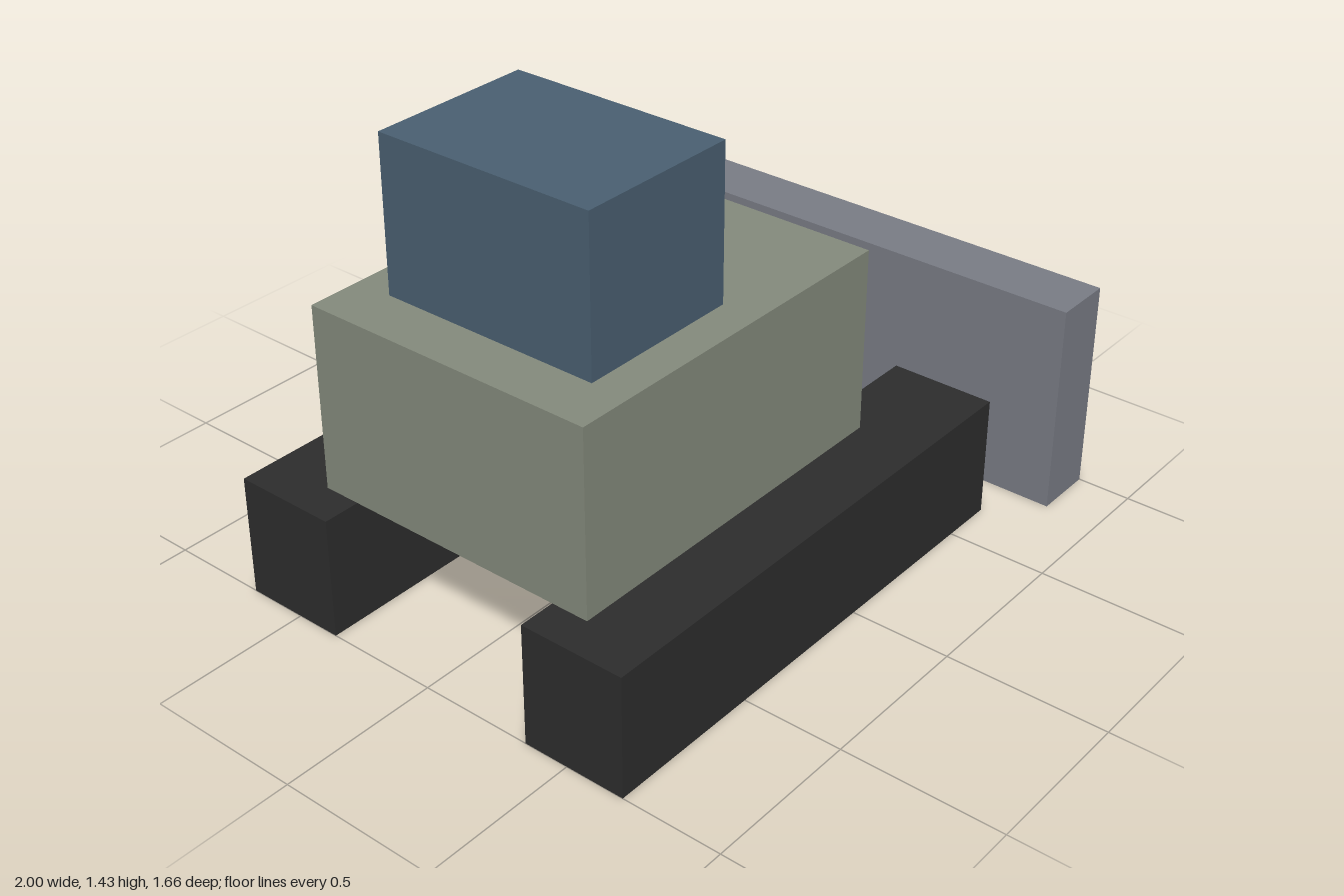
import * as THREE from 'three';

const material = (name, color) => {
  const m = new THREE.MeshStandardMaterial({ color });
  m.name = name;
  return m;
};

// Box given by its lower and upper limits on each axis
function block(name, mat, [x0, x1], [y0, y1], [z0, z1]) {
  const mesh = new THREE.Mesh(new THREE.BoxGeometry(x1 - x0, y1 - y0, z1 - z0), mat);
  mesh.position.set((x0 + x1) / 2, (y0 + y1) / 2, (z0 + z1) / 2);
  mesh.name = name;
  return mesh;
}

export function createModel() {
  const trackBlack = material('track black', 0x2d2d2d);
  const hullGreen = material('hull grey green', 0x858b7d);
  const cabBlue = material('cab blue', 0x4a6072);
  const bladeGrey = material('blade grey', 0x7a7d86);

  const model = new THREE.Group();
  model.name = 'bulldozer';

  // Crawler tracks on both sides
  model.add(block('frontTrack', trackBlack, [-1, 0.664], [0, 0.381], [0.357, 0.688]));
  model.add(block('backTrack', trackBlack, [-1, 0.664], [0, 0.381], [-0.688, -0.357]));

  // Hull, cab and the free-standing dozer blade
  model.add(block('hull', hullGreen, [-0.883, 0.306], [0.381, 0.955], [-0.475, 0.475]));
  model.add(block('cab', cabBlue, [-0.715, -0.191], [0.955, 1.43], [-0.356, 0.356]));
  model.add(block('blade', bladeGrey, [0.806, 1], [0, 0.67], [-0.832, 0.832]));

  return model;
}
